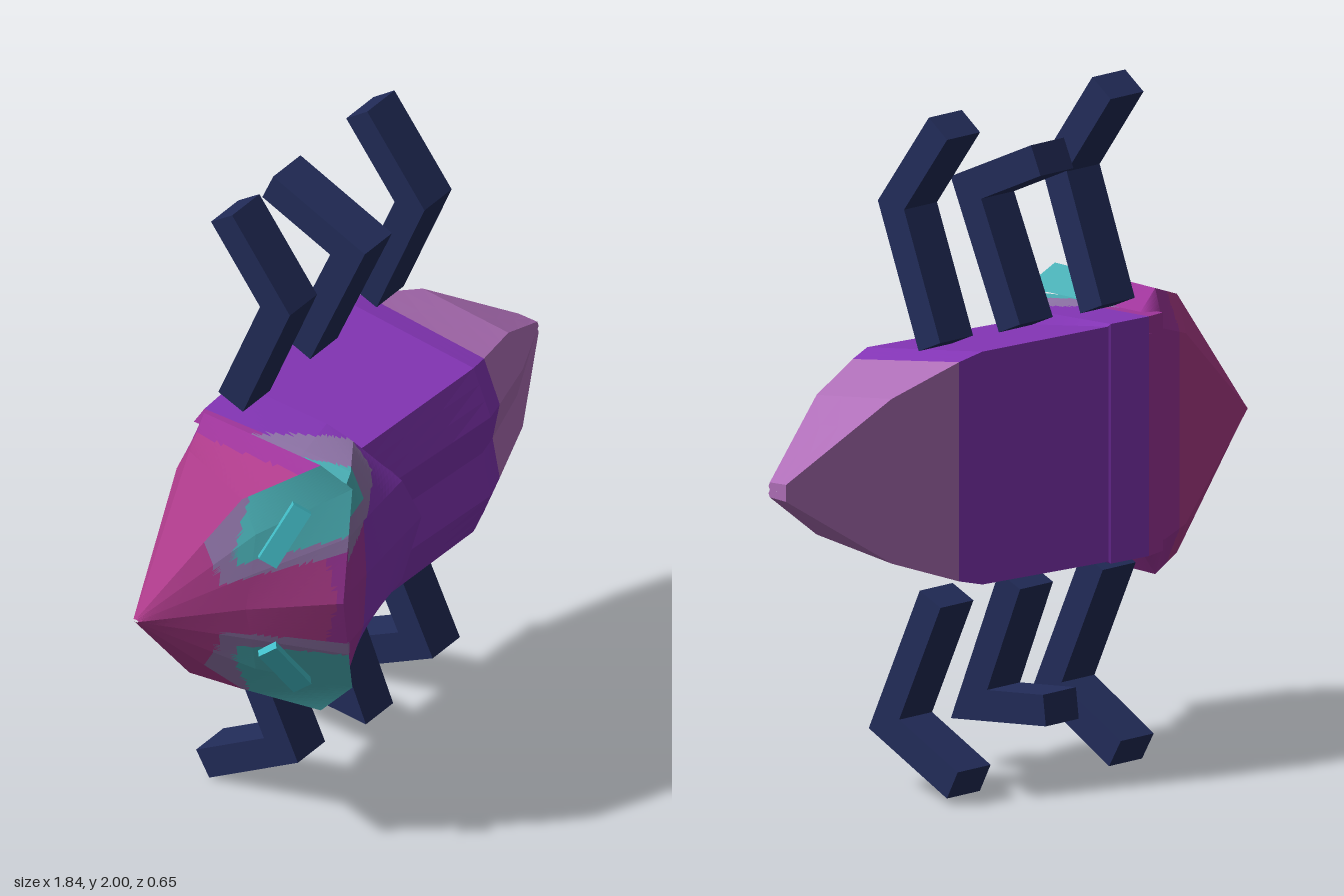
import * as THREE from 'three';

const paint = (name, color) => {
  const m = new THREE.MeshStandardMaterial({ color });
  m.name = name;
  return m;
};

export function createModel() {
  const model = new THREE.Group();
  model.name = 'beetle';
  const navy = paint('navy', 0x222c59);
  const purple = paint('purple', 0x8435b6);
  const mauve = paint('mauve', 0xaf6fb8);
  const magenta = paint('magenta', 0xb03c8c);
  const plum = paint('plum', 0x9f359b);
  const teal = paint('teal', 0x4ab0b6);
  const brightTeal = paint('bright teal', 0x42bcc6);
  const greyMauve = paint('grey mauve', 0x8f74a8);
  const shellPaints = [purple, mauve, magenta, plum, teal, greyMauve];
  const [PURPLE, MAUVE, MAGENTA, PLUM, TEAL, GREY] = [0, 1, 2, 3, 4, 5];

  // Mirrors a half section [x, dy, z] about height cy into a closed ring
  const ring = (cy, half) => [
    ...half.map(([x, d, z]) => new THREE.Vector3(x, cy + d, z)),
    ...half.filter((p) => p[1] > 0).reverse().map(([x, d, z]) => new THREE.Vector3(x, cy - d, z)),
  ];

  // Faceted skin through rings, cut finely so that a rule can colour each face
  function loft(name, rings, n, rule) {
    const faces = shellPaints.map(() => []);
    const centre = new THREE.Vector3();
    for (let i = 0; i < rings.length - 1; i++) {
      const count = rings[i].length;
      for (let j = 0; j < count; j++) {
        const k = (j + 1) % count;
        const at = (u, v) => rings[i][j].clone().lerp(rings[i][k], v)
          .lerp(rings[i + 1][j].clone().lerp(rings[i + 1][k], v), u);
        for (let s = 0; s < n; s++) for (let t = 0; t < n; t++) {
          const a = at(s / n, t / n), b = at(s / n, (t + 1) / n);
          const c = at((s + 1) / n, (t + 1) / n), d = at((s + 1) / n, t / n);
          for (const tri of [[a, d, c], [a, c, b]]) {
            centre.copy(tri[0]).add(tri[1]).add(tri[2]).divideScalar(3);
            faces[rule(centre, i, j)].push(...tri);
          }
        }
      }
    }
    const geo = new THREE.BufferGeometry().setFromPoints(faces.flat());
    let start = 0;
    faces.forEach((f, m) => {
      if (f.length) geo.addGroup(start, f.length, m);
      start += f.length;
    });
    geo.computeVertexNormals();
    const mesh = new THREE.Mesh(geo, shellPaints);
    mesh.name = name;
    model.add(mesh);
  }

  // Abdomen with two shallow ridges, narrowing to the tail
  const bodyRing = (x, cy, centre, ridge, shoulder, edge, side, back) => ring(cy, [
    [x, 0, centre], [x, shoulder * 0.48, ridge], [x, shoulder, edge], [x, side, back],
  ]);
  loft('abdomen', [
    bodyRing(-0.4, 0.945, 0.17, 0.19, 0.285, 0.15, 0.34, -0.255),
    bodyRing(-0.2, 0.945, 0.18, 0.21, 0.285, 0.17, 0.345, -0.262),
    bodyRing(0.3, 0.96, 0.23, 0.26, 0.28, 0.2, 0.342, -0.26),
    bodyRing(0.38, 0.96, 0.21, 0.235, 0.262, 0.18, 0.322, -0.245),
    bodyRing(0.6, 0.96, 0.14, 0.16, 0.205, 0.11, 0.242, -0.19),
    bodyRing(0.92, 0.96, -0.015, -0.01, 0.022, -0.015, 0.025, -0.08),
    bodyRing(0.92, 0.96, -0.04, -0.04, 0.001, -0.04, 0.001, -0.041),
  ], 3, (p) => (p.x > 0.38 ? MAUVE : PURPLE));

  // Thorax shield, pointed towards the tail
  loft('thorax', [
    ring(0.94, [[-0.52, 0, 0.325], [-0.49, 0.18, 0.315], [-0.45, 0.325, 0.28], [-0.45, 0.34, 0.1], [-0.45, 0.35, -0.25]]),
    ring(0.94, [[-0.38, 0, 0.305], [-0.38, 0.18, 0.295], [-0.38, 0.33, 0.25], [-0.38, 0.342, 0.09], [-0.38, 0.352, -0.262]]),
    ring(0.945, [[-0.05, 0, 0.265], [-0.14, 0.17, 0.26], [-0.24, 0.32, 0.16], [-0.23, 0.338, 0.06], [-0.22, 0.352, -0.266]]),
    ring(0.945, [[0, 0, 0.17], [-0.1, 0.17, 0.17], [-0.19, 0.27, 0.1], [-0.2, 0.28, 0.03], [-0.2, 0.33, -0.25]]),
  ], 12, (p) => {
    const dy = p.y - 0.94, reach = p.x + 0.45;
    if (dy > 0.23 && p.z > reach * 2.6) return TEAL;
    if (p.x < -0.24 && dy > 0.13 + reach * 0.6 && p.z > reach * 1.4 - 0.15) return GREY;
    return p.x < -0.38 ? PLUM : PURPLE;
  });

  // Wedge head: snout tip, cheeks, flared rim and collar
  const tip = [-0.92, -0.11];
  loft('head', [
    ring(0.91, [0, 0.002, 0.004, 0.004, 0.004, 0.002].map((d, i) => [tip[0], d, tip[1] - i * 0.004])),
    ring(0.925, [[-0.71, 0, 0.115], [-0.69, 0.11, 0.12], [-0.66, 0.23, 0.115], [-0.65, 0.325, 0.06], [-0.6, 0.38, -0.16], [-0.57, 0.28, -0.225]]),
    ring(0.93, [[-0.53, 0, 0.33], [-0.49, 0.2, 0.32], [-0.45, 0.34, 0.305], [-0.5, 0.42, 0.23], [-0.47, 0.42, -0.2], [-0.46, 0.31, -0.245]]),
    ring(0.94, [[-0.5, 0, 0.32], [-0.47, 0.2, 0.31], [-0.43, 0.325, 0.27], [-0.44, 0.338, 0.2], [-0.41, 0.35, -0.2], [-0.38, 0.3, -0.263]]),
  ], 14, (p, i, j) => {
    const dy = Math.abs(p.y - 0.93), slope = (p.x + 0.7) * 0.3;
    const outerCheek = i < 2 && j >= 3 && j <= 7;
    if (!outerCheek) {
      if (p.x > -0.71 && dy > 0.14 + slope && p.z > 0.075) return TEAL;
      if (p.x > -0.75 && dy > 0.095 + slope && p.z > -0.08) return GREY;
    }
    return p.x < -0.54 ? MAGENTA : PLUM;
  });

  // Slanted eye bars lying on the cheeks
  for (const side of [1, -1]) {
    const normal = new THREE.Vector3(-0.74, 0.245 * side, 0.62).normalize();
    const along = new THREE.Vector3(0.1, 0.16 * side, 0.056).projectOnPlane(normal).normalize();
    const across = along.clone().cross(normal);
    const eye = new THREE.Mesh(new THREE.BoxGeometry(0.06, 0.19, 0.035), brightTeal);
    eye.quaternion.setFromRotationMatrix(new THREE.Matrix4().makeBasis(across, along, normal));
    eye.position.set(-0.612, 0.93 + 0.225 * side, 0.182);
    eye.name = side > 0 ? 'upperEye' : 'lowerEye';
    model.add(eye);
  }

  // Bent leg: a mitred strip through root, knee and foot given as [z, y]
  function leg(name, path, rootX, footX) {
    const [r, k, f] = path.map(([z, y]) => new THREE.Vector2(z, y));
    const h = 0.046;
    const normalOf = (a, b) => {
      const d = b.clone().sub(a).normalize();
      return new THREE.Vector2(-d.y, d.x);
    };
    const n1 = normalOf(r, k), n2 = normalOf(k, f);
    const mitre = n1.clone().add(n2).normalize();
    const offsets = [n1.clone().multiplyScalar(h), mitre.multiplyScalar(h / mitre.dot(n1)), n2.clone().multiplyScalar(h)];
    const joints = [r, k, f];
    const outline = [
      ...joints.map((p, i) => p.clone().add(offsets[i])),
      ...joints.map((p, i) => p.clone().sub(offsets[i])).reverse(),
    ];
    const geo = new THREE.ExtrudeGeometry(new THREE.Shape(outline), { depth: 0.135, bevelEnabled: false });
    geo.translate(0, 0, -0.0675).rotateY(-Math.PI / 2);
    const pos = geo.attributes.position;
    for (let i = 0; i < pos.count; i++) {
      const t = (pos.getY(i) - r.y) / (f.y - r.y);
      pos.setX(i, pos.getX(i) + rootX + (footX - rootX) * t);
    }
    geo.computeVertexNormals();
    const mesh = new THREE.Mesh(geo, navy);
    mesh.name = name;
    model.add(mesh);
  }
  const upper = (foot) => [[-0.19, 1.328], [-0.02, 1.715], foot];
  const lower = (foot) => [[-0.19, 0.587], [-0.018, 0.195], foot];
  leg('upperFrontLeg', upper([-0.197, 1.973]), -0.285, -0.32);
  leg('upperMiddleLeg', upper([-0.3, 1.84]), 0.05, 0.055);
  leg('upperRearLeg', upper([-0.197, 1.966]), 0.378, 0.35);
  leg('lowerFrontLeg', lower([-0.295, 0.042]), -0.29, -0.275);
  leg('lowerMiddleLeg', lower([-0.32, 0.225]), 0.05, 0.04);
  leg('lowerRearLeg', lower([-0.295, 0.06]), 0.375, 0.392);

  return model;
}
